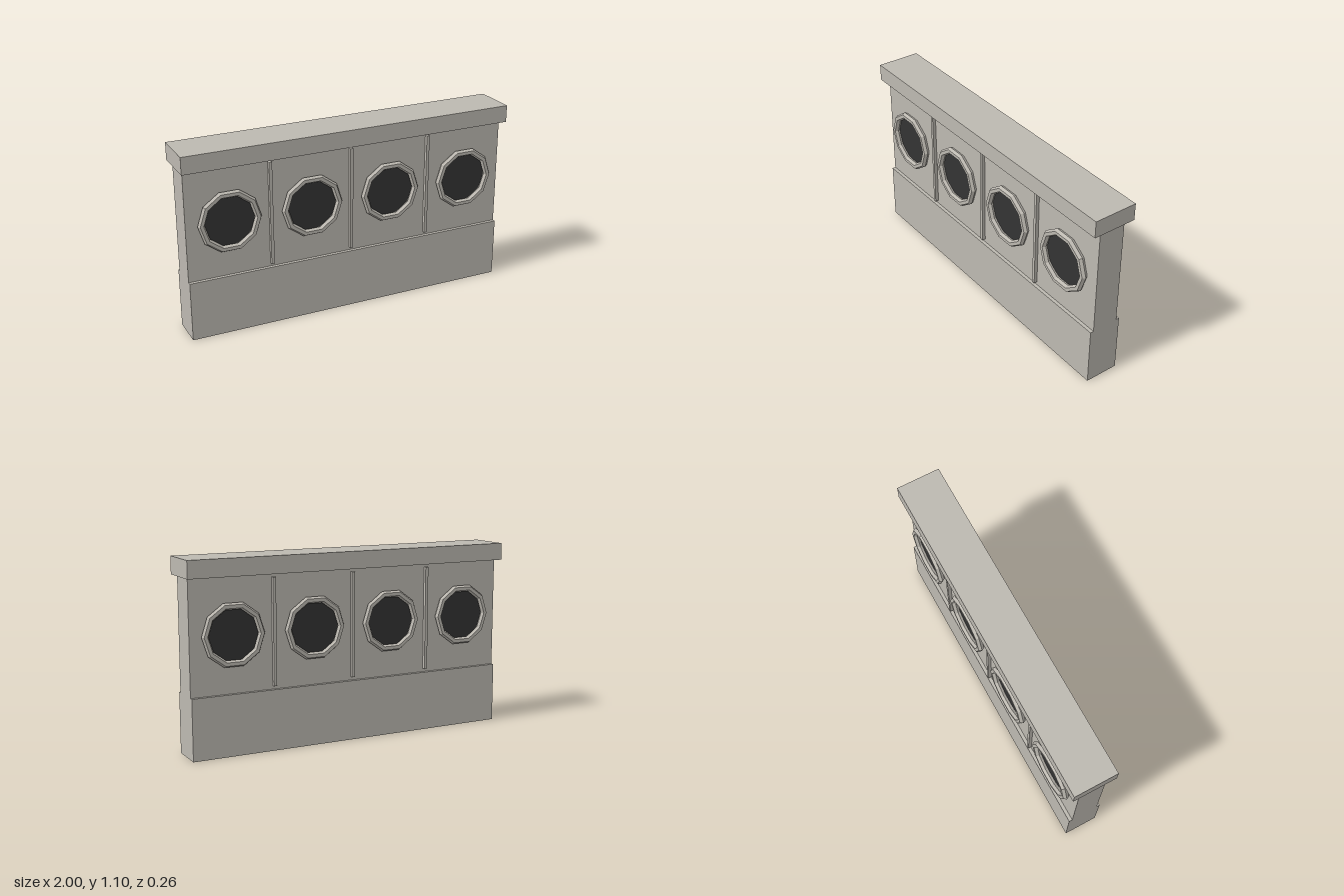
import * as THREE from 'three';

export function createModel() {
  const model = new THREE.Group();
  model.name = 'perforatedWall';
  const concrete = new THREE.MeshStandardMaterial({ name: 'concrete', color: 0xbdb9b1, flatShading: true });
  const opening = new THREE.MeshStandardMaterial({ name: 'darkOpening', color: 0x333333, flatShading: true });

  const add = (name, geometry, material, x, y, z) => {
    const mesh = new THREE.Mesh(geometry, material);
    mesh.name = name;
    mesh.position.set(x, y, z);
    model.add(mesh);
    return mesh;
  };
  const box = (name, w, y0, y1, d, x = 0, z = 0) =>
    add(name, new THREE.BoxGeometry(w, y1 - y0, d), concrete, x, (y0 + y1) / 2, z);

  // Plinth, wall and overhanging coping
  box('plinth', 1.965, 0, 0.35, 0.2);
  box('wallPanel', 1.965, 0.35, 1, 0.16);
  box('coping', 2, 1, 1.1, 0.26);

  // Ten-sided ring around a dark disc, and ribs between the bays, on both faces
  const ringGeometry = new THREE.TorusGeometry(0.165, 0.02, 6, 10);
  const discGeometry = new THREE.CylinderGeometry(0.15, 0.15, 0.008, 20).rotateX(Math.PI / 2);
  for (const side of [1, -1]) {
    const face = side > 0 ? 'front' : 'back';
    for (let i = 0; i < 4; i++) {
      const x = (i - 1.5) * 0.49;
      add(face + 'Ring', ringGeometry, concrete, x, 0.68, side * 0.1);
      add(face + 'Opening', discGeometry, opening, x, 0.68, side * 0.081);
    }
    for (const x of [-0.49, 0, 0.49]) box(face + 'Rib', 0.018, 0.37, 0.98, 0.02, x, side * 0.09);
  }
  return model;
}
